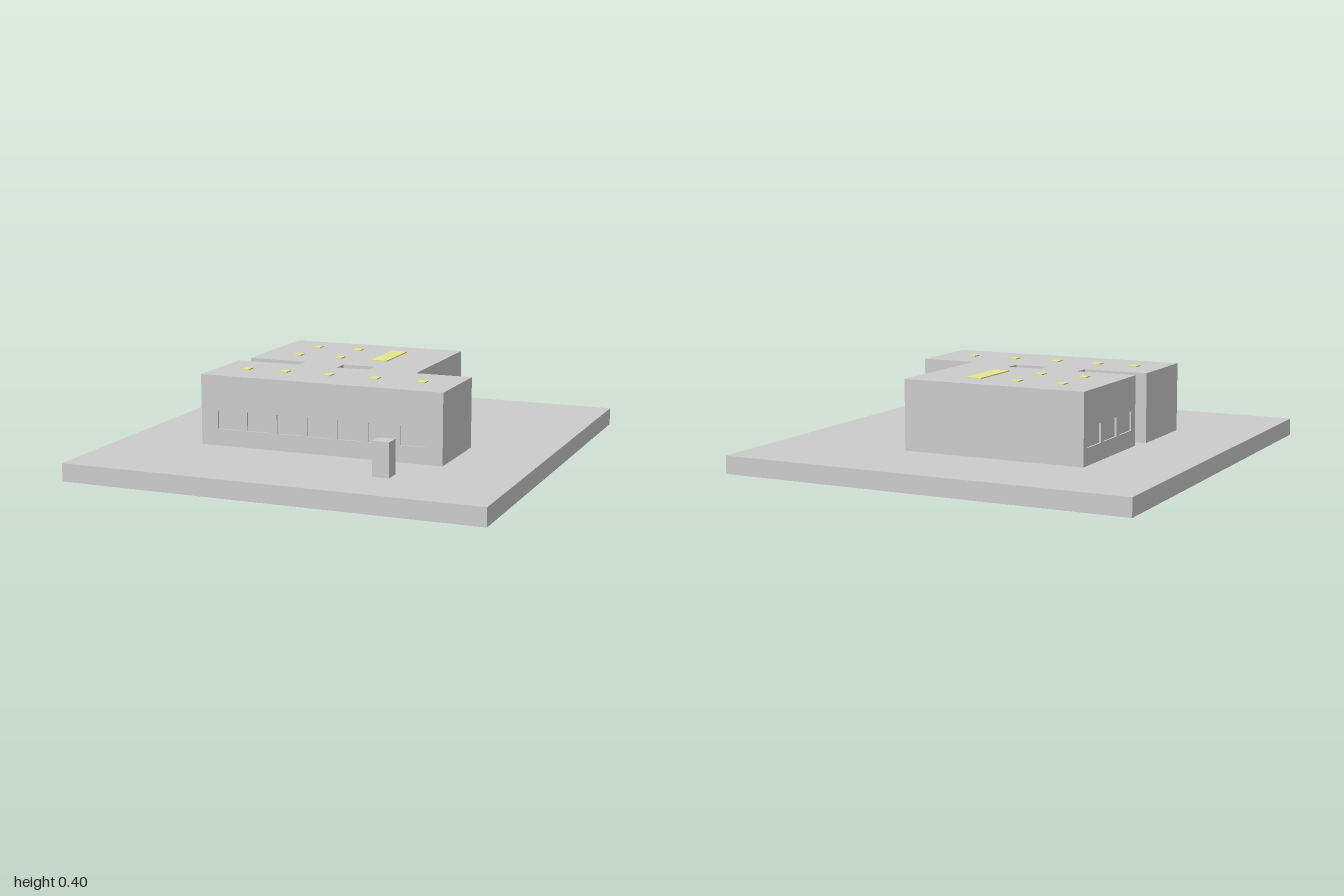
import * as THREE from 'three';

const BASE = 0.08, ROOF = 0.395, H = ROOF - BASE, INSET = 0.008;
const grey = new THREE.MeshStandardMaterial({ color: 0xcccccc });
const yellow = new THREE.MeshStandardMaterial({ color: 0xe6e68c });

// Rectangle as a closed path, for outlines and holes
function rect(PathType, x0, y0, x1, y1) {
  return new PathType([[x0, y0], [x1, y0], [x1, y1], [x0, y1]].map(p => new THREE.Vector2(...p)));
}

// Box given by its extents
function box(name, x0, x1, y0, y1, z0, z1, material = grey) {
  const mesh = new THREE.Mesh(new THREE.BoxGeometry(x1 - x0, y1 - y0, z1 - z0), material);
  mesh.position.set((x0 + x1) / 2, (y0 + y1) / 2, (z0 + z1) / 2);
  mesh.name = name;
  return mesh;
}

// Thin outer wall with a row of shallow window recesses
function facade(name, length, starts, windowWidth) {
  const shape = rect(THREE.Shape, 0, 0, length, H);
  for (const u of starts) shape.holes.push(rect(THREE.Path, u, 0.075, u + windowWidth, 0.16));
  const mesh = new THREE.Mesh(new THREE.ExtrudeGeometry(shape, { depth: INSET, bevelEnabled: false }), grey);
  mesh.name = name;
  return mesh;
}

export function createModel() {
  const model = new THREE.Group();
  model.name = 'buildingOnPlot';
  model.add(box('groundSlab', -0.94, 0.94, 0, BASE, -1, 1));
  model.add(box('gatePillar', 0.36, 0.435, BASE, 0.23, 0.65, 0.725));

  // Two wings joined by links, with a side slot and a small light well
  const outline = [
    [-0.56, 0.45 - INSET], [0.57, 0.45 - INSET], [0.57, 0.07], [0.31 - INSET, 0.07],
    [0.31 - INSET, -0.56], [-0.54 + INSET, -0.56], [-0.54 + INSET, -0.01],
    [-0.26, -0.01], [-0.26, 0.07], [-0.56, 0.07],
  ];
  const footprint = new THREE.Shape(outline.map(([x, z]) => new THREE.Vector2(x, -z)));
  footprint.holes.push(rect(THREE.Path, -0.07, -0.07, 0.085, 0.01));
  const body = new THREE.ExtrudeGeometry(footprint, { depth: H, bevelEnabled: false });
  body.rotateX(-Math.PI / 2);
  const building = new THREE.Mesh(body, grey);
  building.name = 'buildingBody';
  building.position.y = BASE;
  model.add(building);

  // Windowed walls: front wing and both sides of the back wing
  const front = facade('frontFacade', 1.13, Array.from({ length: 7 }, (_, i) => 0.08 + i * 0.143), 0.115);
  front.position.set(-0.56, BASE, 0.45 - INSET);
  const left = facade('leftFacade', 0.63, [0, 1, 2].map(i => 0.125 + i * 0.165), 0.135);
  left.position.set(0.31 - INSET, BASE, 0.07);
  left.rotation.y = Math.PI / 2;
  const right = facade('rightFacade', 0.55, [0, 1, 2].map(i => 0.04 + i * 0.165), 0.135);
  right.position.set(-0.54 + INSET, BASE, -0.56);
  right.rotation.y = -Math.PI / 2;
  model.add(front, left, right);

  // Roof lights
  const lights = new THREE.Group();
  lights.name = 'roofLights';
  const light = (name, x, z, w, d) => lights.add(
    box(name, x - w / 2, x + w / 2, ROOF - 0.005, ROOF + 0.005, z - d / 2, z + d / 2, yellow));
  for (const x of [-0.425, -0.24, -0.03, 0.19, 0.41]) light('frontRoofLight', x, 0.26, 0.037, 0.05);
  for (const x of [-0.365, -0.155])
    for (const z of [-0.4, -0.17]) light('backRoofLight', x, z, 0.037, 0.048);
  light('longRoofLight', 0.048, -0.285, 0.075, 0.27);
  model.add(lights);
  return model;
}
